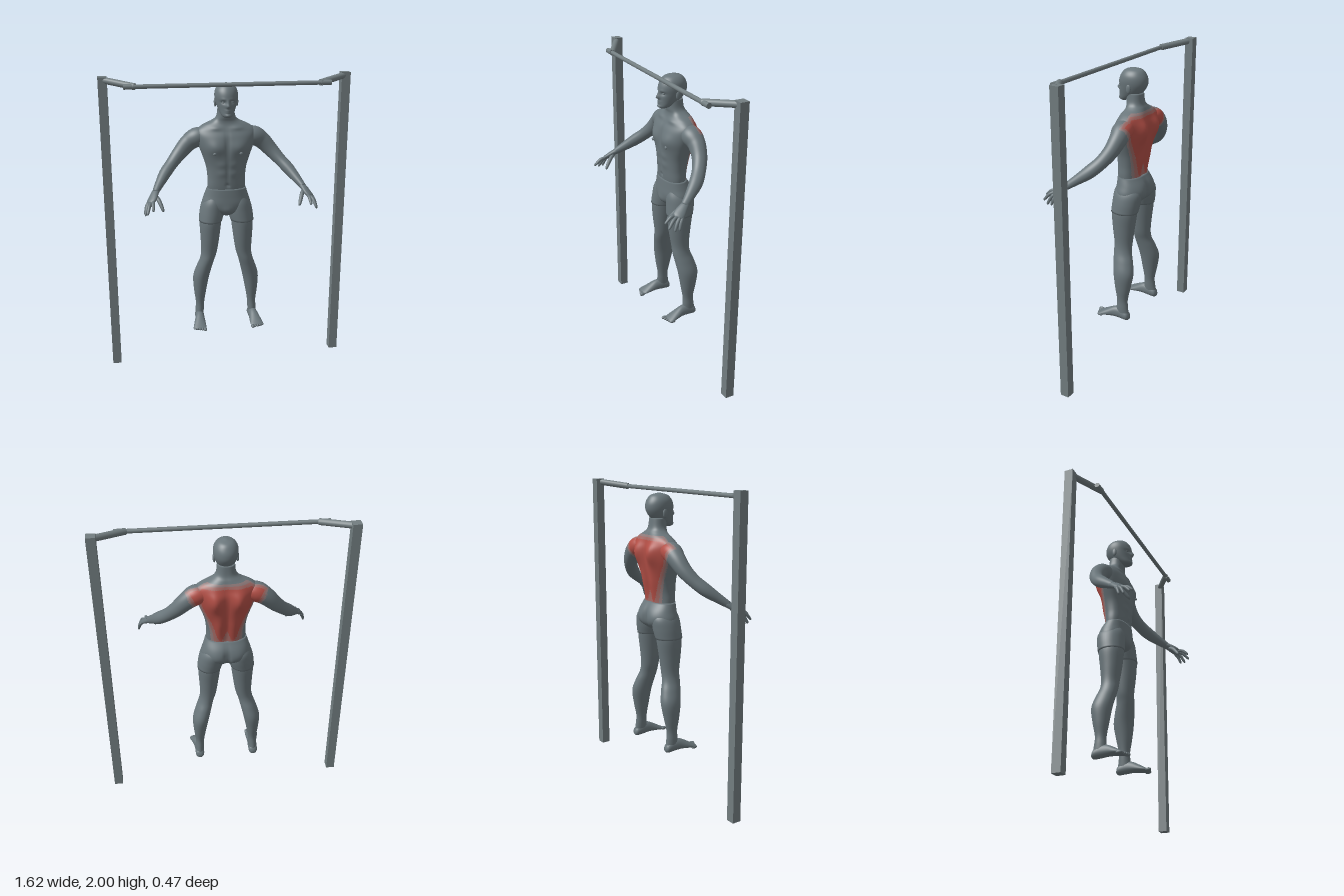
import * as THREE from 'three';

const V = (x, y, z) => new THREE.Vector3(x, y, z);
const UP = V(0, 1, 0), DOWN = V(0, -1, 0), FRONT = V(0, 0, 1);

// Smooth closed loft. Each key: [x, y, z, side radius, radius along ref, radius against ref]
// axis, when given, must point the way the keys run
function loft(keys, { axis = null, ref = FRONT, segs = 24, steps = 5, power = 2, bumps = [] } = {}) {
  const spline = (o) => new THREE.CatmullRomCurve3(
    keys.map((k) => V(k[o], k[o + 1], k[o + 2])), false, 'catmullrom', 0.5);
  const path = spline(0), size = spline(3), n = (keys.length - 1) * steps;
  const pos = [], idx = [], e = 2 / power;
  const shape = (c) => Math.sign(c) * Math.abs(c) ** e;
  for (let i = 0; i <= n; i++) {
    const c = path.getPoint(i / n), r = size.getPoint(i / n);
    const t = axis || path.getTangent(i / n);
    const v = ref.clone().addScaledVector(t, -ref.dot(t)).normalize();
    const u = v.clone().cross(t);
    for (let j = 0; j < segs; j++) {
      const a = (j / segs) * Math.PI * 2, s = Math.sin(a);
      const p = c.clone().addScaledVector(u, shape(Math.cos(a)) * Math.max(r.x, 0.001))
        .addScaledVector(v, shape(s) * Math.max(s > 0 ? r.y : r.z, 0.001));
      // Mirrored muscle bumps: [x, y, width, height, outward amount, front or back]
      for (const [x, y, w, h, amt, dir] of bumps) {
        p.z += dir * amt * Math.min(1, 1.5 * Math.max(0, s * dir)) *
          Math.exp(-(((Math.abs(p.x) - x) / w) ** 2) - ((p.y - y) / h) ** 2);
      }
      pos.push(p.x, p.y, p.z);
    }
  }
  for (let i = 0; i < n; i++) for (let j = 0; j < segs; j++) {
    const a = i * segs + j, b = i * segs + (j + 1) % segs;
    idx.push(a, b, a + segs, b, b + segs, a + segs);
  }
  const first = path.getPoint(0), last = path.getPoint(1), m = pos.length / 3;
  pos.push(first.x, first.y, first.z, last.x, last.y, last.z);
  for (let j = 0; j < segs; j++) {
    const k = (j + 1) % segs;
    idx.push(m, k, j, m + 1, n * segs + j, n * segs + k);
  }
  const g = new THREE.BufferGeometry();
  g.setAttribute('position', new THREE.Float32BufferAttribute(pos, 3));
  g.setIndex(idx);
  g.computeVertexNormals();
  return g;
}

// Key from height, centre x, half width, front z, back z
const ring = (y, x, rx, zf, zb) => [x, y, (zf + zb) / 2, rx, (zf - zb) / 2, (zf - zb) / 2];
const flip = (keys, s) => keys.map(([x, ...rest]) => [x * s, ...rest]);

// Tone of the highlighted back muscles, 0 = skin to 3 = strongest
function backTone(x, y, z) {
  const half = y < 1.45 ? 0.115 + Math.max(0, y - 1.25) * 0.27 : 0.169 + (y - 1.45) * 0.5;
  const d = Math.min(half - Math.abs(x), 1.685 - y, (-0.14 - z) * 1.2);
  return d < 0 ? 0 : d < 0.014 ? 1 : d < 0.03 ? 2 : 3;
}

// Sort triangles into material groups by tone
function paintBack(g) {
  const p = g.attributes.position, src = g.index.array, bins = [[], [], [], []];
  for (let i = 0; i < src.length; i += 3) {
    const f = [src[i], src[i + 1], src[i + 2]];
    const avg = (get) => f.reduce((sum, k) => sum + p[get](k), 0) / 3;
    bins[backTone(avg('getX'), avg('getY'), avg('getZ'))].push(...f);
  }
  g.setIndex(bins.flat());
  let start = 0;
  bins.forEach((b, k) => { g.addGroup(start, b.length, k); start += b.length; });
  return g;
}

export function createModel() {
  const model = new THREE.Group();
  model.name = 'manAtPullUpBar';
  const mat = (name, color) => Object.assign(new THREE.MeshStandardMaterial({ color }), { name });
  const body = mat('bodyGrey', 0x6a767b), metal = mat('frameGrey', 0x727d80);
  const tones = [body, mat('paleRed', 0x8f7a7a), mat('softRed', 0xa36a65), mat('muscleRed', 0xb34f46)];
  const add = (name, geo, material = body) => {
    const m = new THREE.Mesh(geo, material);
    m.name = name;
    model.add(m);
    return m;
  };
  const ball = (name, x, y, z, rx, ry, rz) => {
    const m = add(name, new THREE.SphereGeometry(1, 16, 12));
    m.position.set(x, y, z);
    m.scale.set(rx, ry, rz);
  };
  const rod = (name, a, b, r) => {
    const d = b.clone().sub(a);
    const m = add(name, new THREE.CylinderGeometry(r, r, d.length(), 16), metal);
    m.position.copy(a).add(b).multiplyScalar(0.5);
    m.quaternion.setFromUnitVectors(UP, d.normalize());
  };

  // Pull-up frame
  rod('pullUpBar', V(-0.655, 1.953, 0.045), V(0.655, 1.953, 0.045), 0.014);
  for (const s of [-1, 1]) {
    add('post', new THREE.BoxGeometry(0.058, 2, 0.058), metal).position.set(s * 0.782, 1, -0.082);
    rod('bracketArm', V(s * 0.785, 1.98, -0.082), V(s * 0.585, 1.953, 0.045), 0.021);
    rod('barSleeve', V(s * 0.585, 1.953, 0.045), V(s * 0.655, 1.953, 0.045), 0.017);
  }

  // Torso and neck
  add('torso', paintBack(loft([
    ring(1.22, 0, 0.124, -0.022, -0.165), ring(1.27, 0, 0.127, -0.016, -0.163),
    ring(1.33, 0, 0.126, -0.012, -0.17), ring(1.4, 0, 0.135, -0.008, -0.185),
    ring(1.47, 0, 0.157, -0.003, -0.198), ring(1.54, 0, 0.182, -0.005, -0.205),
    ring(1.6, 0, 0.196, -0.015, -0.206), ring(1.64, 0, 0.19, -0.035, -0.198),
    ring(1.672, 0, 0.15, -0.052, -0.19), ring(1.7, 0, 0.09, -0.058, -0.178),
    ring(1.73, 0, 0.062, -0.053, -0.163), ring(1.79, 0, 0.054, -0.05, -0.155),
  ], {
    axis: UP, segs: 96, steps: 8, power: 2.3, bumps: [
      [0.08, 1.535, 0.06, 0.05, 0.018, 1], [0, 1.55, 0.014, 0.07, -0.01, 1],
      [0, 1.37, 0.01, 0.09, -0.005, 1], [0.04, 1.42, 0.03, 0.022, 0.004, 1],
      [0.04, 1.36, 0.03, 0.022, 0.004, 1], [0, 1.28, 0.01, 0.01, -0.01, 1],
      [0.07, 1.66, 0.04, 0.015, 0.008, 1], [0.075, 1.57, 0.045, 0.075, 0.032, -1],
      [0.05, 1.35, 0.03, 0.1, 0.012, -1], [0, 1.42, 0.016, 0.2, -0.008, -1],
    ],
  })), tones);

  // Head and face
  add('head', loft([
    ring(1.732, 0, 0.016, -0.01, -0.035), ring(1.745, 0, 0.037, 0.006, -0.075),
    ring(1.785, 0, 0.057, 0.004, -0.145), ring(1.83, 0, 0.071, 0.003, -0.18),
    ring(1.87, 0, 0.076, 0.002, -0.186), ring(1.905, 0, 0.069, -0.012, -0.174),
    ring(1.932, 0, 0.046, -0.038, -0.15), ring(1.945, 0, 0.008, -0.085, -0.105),
  ], {
    axis: UP, segs: 72, steps: 8, power: 2.05, bumps: [
      [0, 1.808, 0.013, 0.013, 0.02, 1], [0, 1.828, 0.009, 0.018, 0.012, 1],
      [0.03, 1.832, 0.015, 0.011, -0.009, 1], [0.028, 1.85, 0.022, 0.01, 0.004, 1],
      [0, 1.782, 0.02, 0.005, 0.007, 1], [0, 1.771, 0.018, 0.005, 0.007, 1],
      [0, 1.776, 0.02, 0.002, -0.003, 1], [0, 1.748, 0.02, 0.01, 0.008, 1],
    ],
  }));

  // Shorts, upper part
  add('shorts', loft([
    ring(1.252, 0, 0.131, -0.012, -0.168), ring(1.2, 0, 0.148, -0.008, -0.198),
    ring(1.15, 0, 0.163, -0.005, -0.205), ring(1.11, 0, 0.155, -0.012, -0.198),
    ring(1.08, 0, 0.09, -0.03, -0.17), ring(1.06, 0, 0.03, -0.06, -0.14),
  ], {
    axis: DOWN, segs: 56, steps: 6, power: 2.2, bumps: [
      [0.075, 1.15, 0.055, 0.05, 0.012, -1], [0, 1.13, 0.014, 0.07, -0.02, -1],
      [0, 1.1, 0.035, 0.035, 0.012, 1],
    ],
  }));

  for (const s of [-1, 1]) {
    const part = (name, keys, opt) => add(name, loft(flip(keys, s), opt));

    // Face and chest details
    ball('eye', s * 0.029, 1.832, -0.014, 0.011, 0.006, 0.009);
    ball('ear', s * 0.071, 1.822, -0.095, 0.009, 0.03, 0.017);
    ball('nipple', s * 0.087, 1.498, 0.002, 0.012, 0.01, 0.006);

    // Legs
    part('shortsLeg', [
      ring(1.2, 0.085, 0.045, -0.03, -0.17), ring(1.15, 0.088, 0.075, -0.012, -0.2),
      ring(1.09, 0.095, 0.084, -0.006, -0.198), ring(1.02, 0.108, 0.079, -0.002, -0.185),
    ], { axis: DOWN, segs: 36, steps: 6 });
    part('leg', [
      ring(1.06, 0.102, 0.074, -0.01, -0.18), ring(1.0, 0.109, 0.073, -0.007, -0.178),
      ring(0.9, 0.113, 0.064, -0.016, -0.165), ring(0.8, 0.119, 0.054, -0.03, -0.155),
      ring(0.74, 0.133, 0.05, -0.033, -0.158), ring(0.68, 0.152, 0.053, -0.042, -0.178),
      ring(0.6, 0.173, 0.055, -0.055, -0.195), ring(0.5, 0.181, 0.043, -0.07, -0.18),
      ring(0.41, 0.183, 0.03, -0.085, -0.162), ring(0.35, 0.186, 0.029, -0.083, -0.166),
      ring(0.3, 0.188, 0.027, -0.08, -0.172), ring(0.275, 0.188, 0.018, -0.1, -0.155),
    ], { axis: DOWN, segs: 36 });
    part('foot', [
      [0.187, 0.285, -0.18, 0.012, 0.012, 0.012], [0.188, 0.292, -0.165, 0.028, 0.03, 0.03],
      [0.188, 0.3, -0.12, 0.031, 0.045, 0.036], [0.191, 0.298, -0.07, 0.033, 0.045, 0.03],
      [0.196, 0.287, -0.02, 0.04, 0.032, 0.02], [0.2, 0.277, 0.025, 0.044, 0.016, 0.014],
      [0.2, 0.273, 0.045, 0.036, 0.008, 0.008],
    ], { axis: FRONT, ref: UP, segs: 28 });
    for (let i = 0; i < 5; i++) {
      ball('toe', s * (0.167 + i * 0.0175), 0.273, 0.051 - i * 0.007,
        i ? 0.009 : 0.012, i ? 0.01 : 0.012, 0.021);
    }

    // Arms
    add('arm', paintBack(loft(flip([
      [0.11, 1.6, -0.12, 0.045, 0.05, 0.055], [0.185, 1.59, -0.125, 0.064, 0.066, 0.066],
      [0.245, 1.553, -0.13, 0.057, 0.057, 0.056], [0.305, 1.49, -0.115, 0.048, 0.048, 0.049],
      [0.36, 1.43, -0.08, 0.04, 0.044, 0.044], [0.41, 1.377, -0.03, 0.038, 0.043, 0.043],
      [0.452, 1.325, 0.035, 0.029, 0.032, 0.032], [0.484, 1.284, 0.09, 0.02, 0.024, 0.024],
    ], s), { segs: 48, steps: 8 })), tones);

    // Hands
    part('palm', [
      [0.477, 1.292, 0.077, 0.019, 0.024, 0.024], [0.49, 1.277, 0.1, 0.019, 0.031, 0.028],
      [0.505, 1.256, 0.13, 0.017, 0.037, 0.034], [0.517, 1.24, 0.152, 0.014, 0.033, 0.033],
      [0.522, 1.233, 0.16, 0.006, 0.022, 0.022],
    ], { ref: V(-0.65 * s, 0.2, 0.75), segs: 24 });
    const fingers = [
      ['littleFinger', 0.53, 1.236, 0.128, 0.556, 1.165, 0.162],
      ['ringFinger', 0.527, 1.237, 0.145, 0.553, 1.164, 0.193],
      ['middleFinger', 0.515, 1.24, 0.158, 0.541, 1.18, 0.228],
      ['indexFinger', 0.5, 1.246, 0.16, 0.505, 1.203, 0.234],
      ['thumb', 0.482, 1.27, 0.105, 0.439, 1.185, 0.185],
    ];
    for (const [name, x, y, z, tx, ty, tz] of fingers) {
      const a = V(x, y, z), b = V(tx, ty, tz), r = name === 'thumb' ? 0.013 : 0.0105;
      const keys = [[0, 1], [0.45, 1.05], [0.85, 0.85], [0.97, 0.55], [1, 0.1]].map(([f, k]) => {
        const p = a.clone().lerp(b, f);
        p.y += 0.012 * Math.sin(f * Math.PI);
        return [p.x, p.y, p.z, r * k, r * k, r * k];
      });
      part(name, keys, { segs: 12, steps: 4 });
    }
  }
  return model;
}
